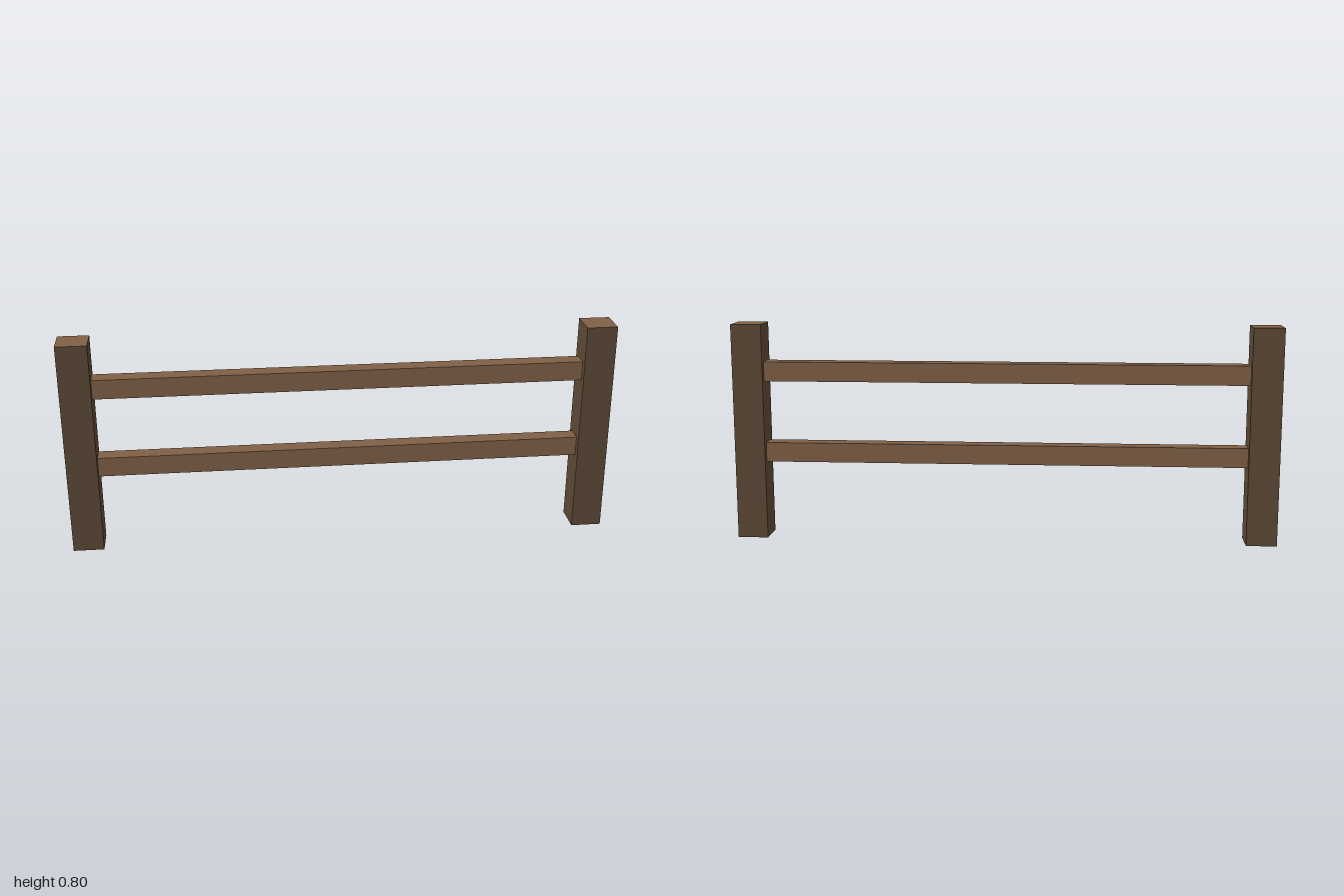
import * as THREE from 'three';

const POST = { width: 0.112, height: 0.8, x: 0.944 };
const RAIL = { height: 0.072, depth: 0.062, levels: [0.323, 0.625] };

export function createModel() {
  const fence = new THREE.Group();
  fence.name = 'fence';

  const bark = new THREE.MeshStandardMaterial({ color: 0x5b4835, side: THREE.DoubleSide });
  bark.name = 'dark wood';
  const timber = new THREE.MeshStandardMaterial({ color: 0x7e5f45, side: THREE.DoubleSide });
  timber.name = 'light wood';

  const add = (parent, name, geometry, material, x, y, z) => {
    const mesh = new THREE.Mesh(geometry, material);
    mesh.name = name;
    mesh.position.set(x, y, z);
    parent.add(mesh);
    return mesh;
  };

  // Square posts: four dark sides, a light cut top and an open foot
  const side = new THREE.PlaneGeometry(POST.width, POST.height);
  const top = new THREE.PlaneGeometry(POST.width, POST.width).rotateX(-Math.PI / 2);
  for (const sign of [-1, 1]) {
    const post = new THREE.Group();
    post.name = sign > 0 ? 'leftPost' : 'rightPost';
    post.position.x = sign * POST.x;
    for (let i = 0; i < 4; i++) {
      const angle = i * Math.PI / 2;
      const r = POST.width / 2;
      add(post, 'postSide', side, bark, Math.sin(angle) * r, POST.height / 2, Math.cos(angle) * r)
        .rotation.y = angle;
    }
    add(post, 'postTop', top, timber, 0, POST.height, 0);
    fence.add(post);
  }

  // Two rails spanning between the inner faces of the posts
  const span = 2 * POST.x - POST.width;
  const rail = new THREE.BoxGeometry(span, RAIL.height, RAIL.depth);
  RAIL.levels.forEach((y, i) => add(fence, i ? 'upperRail' : 'lowerRail', rail, timber, 0, y, -0.002));

  return fence;
}
